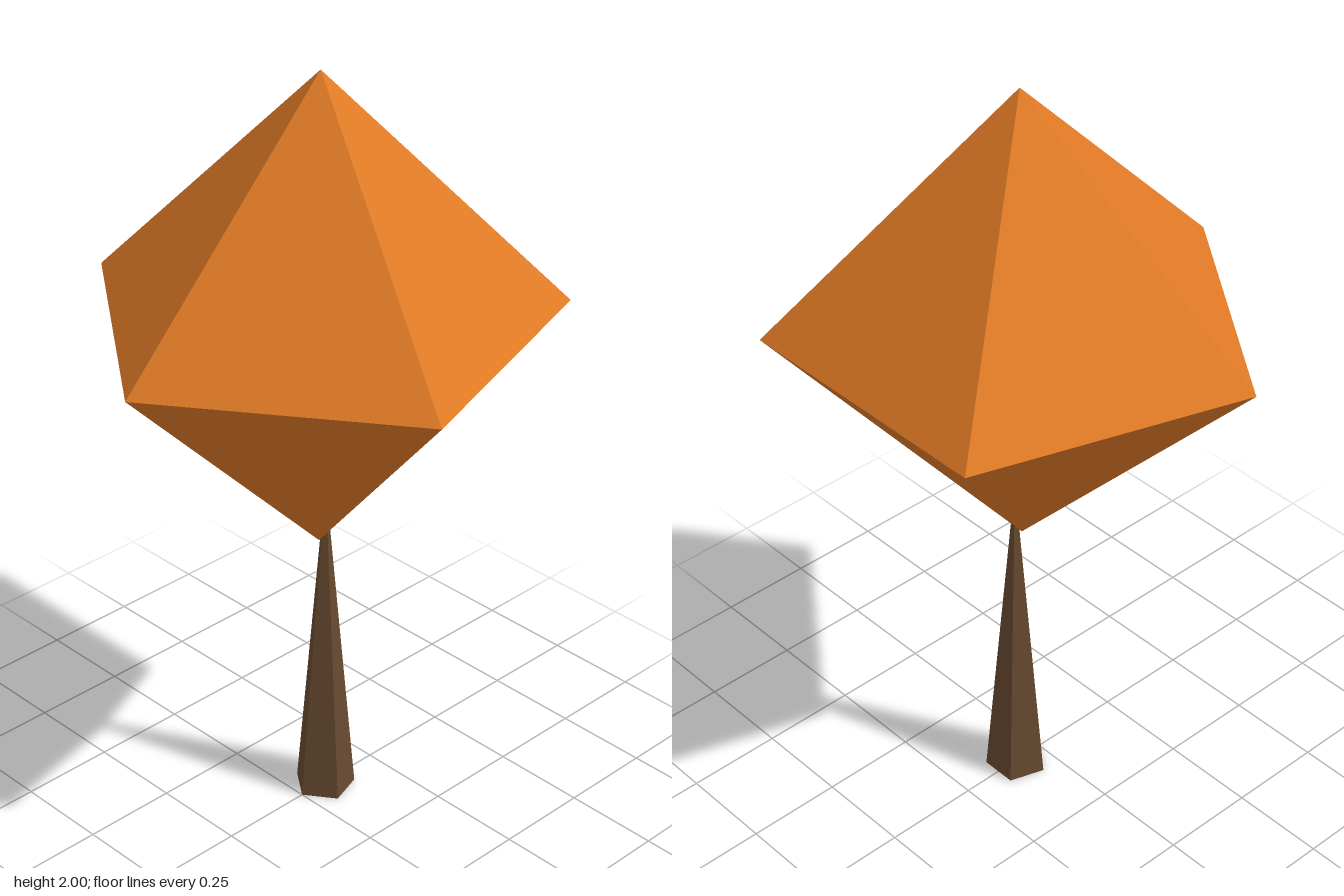
import * as THREE from 'three';

const SIDES = 5;

export function createModel() {
  const group = new THREE.Group();

  const foliageOrange = new THREE.MeshStandardMaterial({ color: 0xe07a26, flatShading: true });
  foliageOrange.name = 'foliageOrange';
  const barkBrown = new THREE.MeshStandardMaterial({ color: 0x684930, flatShading: true });
  barkBrown.name = 'barkBrown';

  // Crown: five-sided double pyramid, one corner facing forward
  const profile = [[0, 0.755], [0.606, 1.378], [0, 2]].map(([r, y]) => new THREE.Vector2(r, y));
  const crown = new THREE.Mesh(new THREE.LatheGeometry(profile, SIDES), foliageOrange);
  crown.name = 'crown';
  crown.position.z = -0.058;
  group.add(crown);

  // Trunk: slim five-sided taper whose tip is tucked into the crown
  const trunkHeight = 0.8;
  const trunk = new THREE.Mesh(new THREE.CylinderGeometry(0.01, 0.08, trunkHeight, SIDES), barkBrown);
  trunk.name = 'trunk';
  trunk.position.set(0, trunkHeight / 2, -0.08);
  group.add(trunk);

  return group;
}
